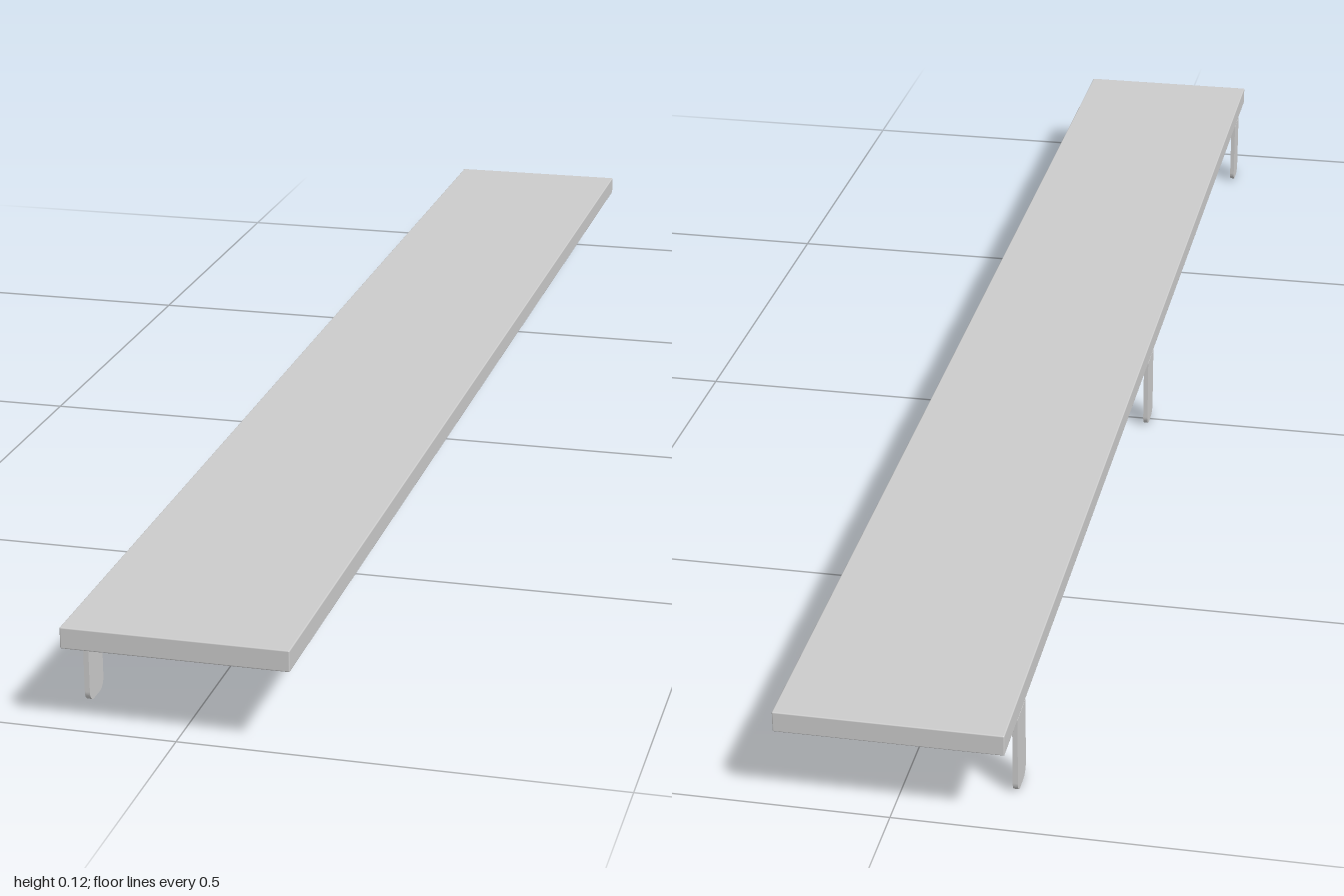
import * as THREE from 'three';
import { RoundedBoxGeometry } from 'three/addons/geometries/RoundedBoxGeometry.js';

const material = new THREE.MeshStandardMaterial({ color: 0xcccccc });

const HALF_WIDTH = 0.129;
const BOARD_BOTTOM = 0.096;
const BOARD_THICKNESS = 0.025;
const STRAP_WIDTH = 0.045;

// Flat strap running along +x with its top at y = 0 and a rounded free end
function strapGeometry(length, thickness, radius = 0.013) {
  const h = STRAP_WIDTH / 2;
  const shape = new THREE.Shape();
  shape.moveTo(0, -h);
  shape.lineTo(length - radius, -h);
  shape.absarc(length - radius, -h + radius, radius, -Math.PI / 2, 0, false);
  shape.absarc(length - radius, h - radius, radius, 0, Math.PI / 2, false);
  shape.lineTo(0, h);
  shape.closePath();
  const geometry = new THREE.ExtrudeGeometry(shape, {
    depth: thickness, bevelEnabled: false, curveSegments: 8,
  });
  return geometry.rotateX(Math.PI / 2);
}

// L-shaped bracket: one arm under the board, one hanging down
function createBracket() {
  const bracket = new THREE.Group();
  bracket.name = 'bracket';

  const arm = new THREE.Mesh(strapGeometry(0.136, 0.008), material);
  arm.name = 'bracketArm';
  arm.position.set(-HALF_WIDTH, BOARD_BOTTOM, 0);

  const wallThickness = 0.006;
  const wallPlate = new THREE.Mesh(
    strapGeometry(BOARD_BOTTOM, wallThickness).rotateZ(-Math.PI / 2), material);
  wallPlate.name = 'bracketWallPlate';
  wallPlate.position.set(-HALF_WIDTH + wallThickness, BOARD_BOTTOM, 0);

  bracket.add(arm, wallPlate);
  return bracket;
}

export function createModel() {
  const model = new THREE.Group();
  model.name = 'wallShelf';

  // Long board with slightly eased edges
  const board = new THREE.Mesh(
    new RoundedBoxGeometry(HALF_WIDTH * 2, BOARD_THICKNESS, 2, 2, 0.0015), material);
  board.name = 'shelfBoard';
  board.position.y = BOARD_BOTTOM + BOARD_THICKNESS / 2;
  model.add(board);

  // Three brackets along the wall side
  for (const z of [-0.907, 0, 0.907]) {
    const bracket = createBracket();
    bracket.position.z = z;
    model.add(bracket);
  }
  return model;
}
